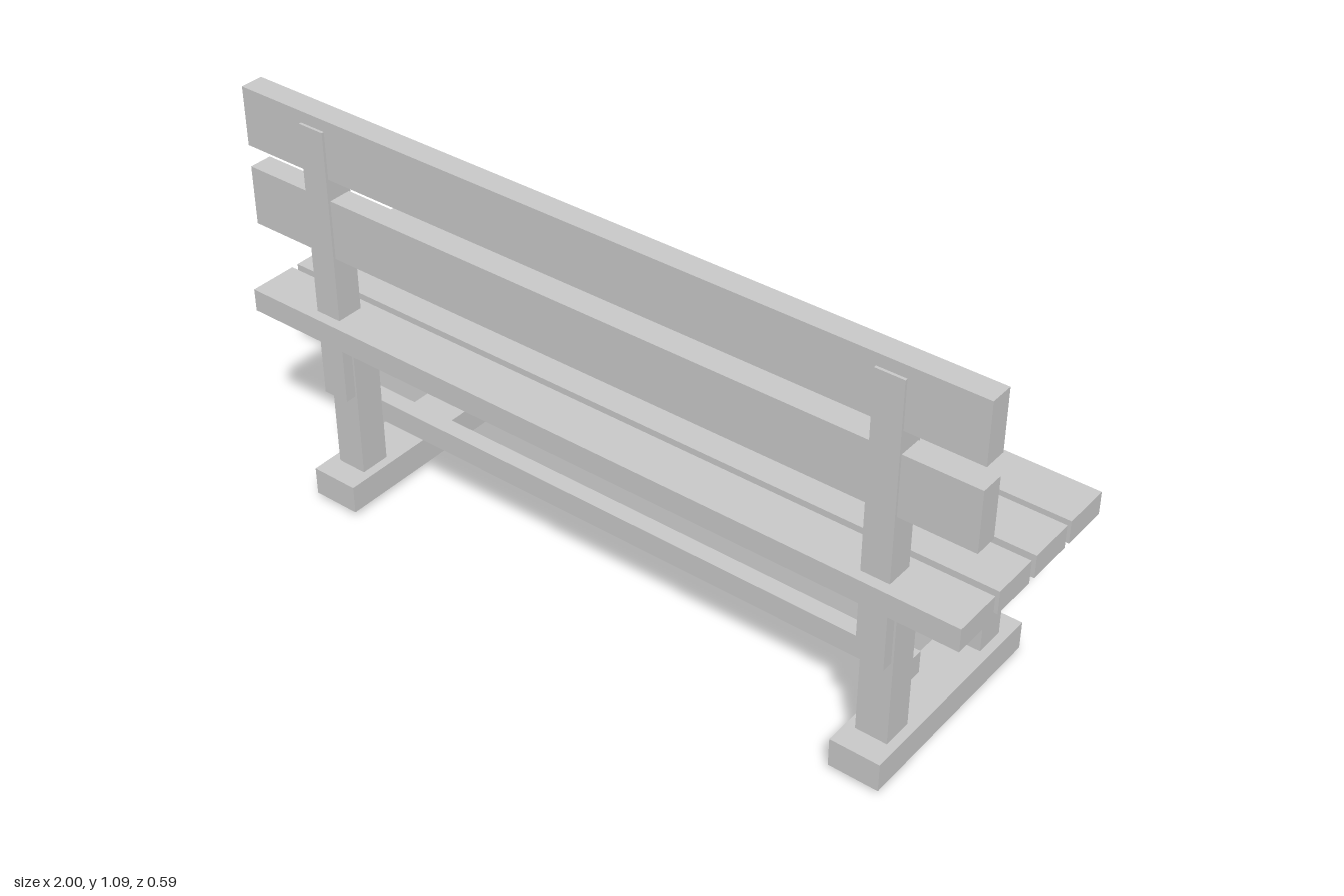
import * as THREE from 'three';

const material = new THREE.MeshStandardMaterial({ color: 0xcccccc, flatShading: true });

export function createModel() {
  const bench = new THREE.Group();
  bench.name = 'bench';

  // Box given by its [min, max] extent along each axis
  function beam(name, [x0, x1], [y0, y1], [z0, z1]) {
    const mesh = new THREE.Mesh(new THREE.BoxGeometry(x1 - x0, y1 - y0, z1 - z0), material);
    mesh.position.set((x0 + x1) / 2, (y0 + y1) / 2, (z0 + z1) / 2);
    mesh.name = name;
    bench.add(mesh);
  }

  // Four seat slats
  for (const z of [[0.16, 0.288], [0.017, 0.142], [-0.13, -0.003], [-0.275, -0.147]])
    beam('seatSlat', [-1, 1], [0.495, 0.555], z);

  // Two backrest boards
  for (const y of [[0.725, 0.88], [0.937, 1.09]])
    beam('backrestBoard', [-1, 1], y, [0.193, 0.253]);

  // Long stretcher tucked against the legs
  beam('stretcher', [-0.81, 0.81], [0.205, 0.265], [0.105, 0.15]);

  // Side frames
  for (const side of [-1, 1]) {
    const c = side * 0.777;
    const around = (half) => [c - half, c + half];
    const name = side > 0 ? 'left' : 'right';
    beam(name + 'Foot', around(0.065), [0.014, 0.09], [-0.293, 0.293]);
    beam(name + 'FrontLeg', around(0.041), [0, 0.5], [0.149, 0.23]);
    beam(name + 'BackLeg', around(0.041), [0, 0.5], [-0.23, -0.149]);
    beam(name + 'BackrestPost', around(0.036), [0.32, 1.06], [0.188, 0.26]);

    // Bolt heads holding the boards to the post
    for (const y of [0.802, 1.013]) {
      const bolt = new THREE.Mesh(new THREE.CylinderGeometry(0.013, 0.013, 0.012, 12), material);
      bolt.rotation.x = Math.PI / 2;
      bolt.position.set(c, y, 0.186);
      bolt.name = name + 'Bolt';
      bench.add(bolt);
    }
  }
  return bench;
}
